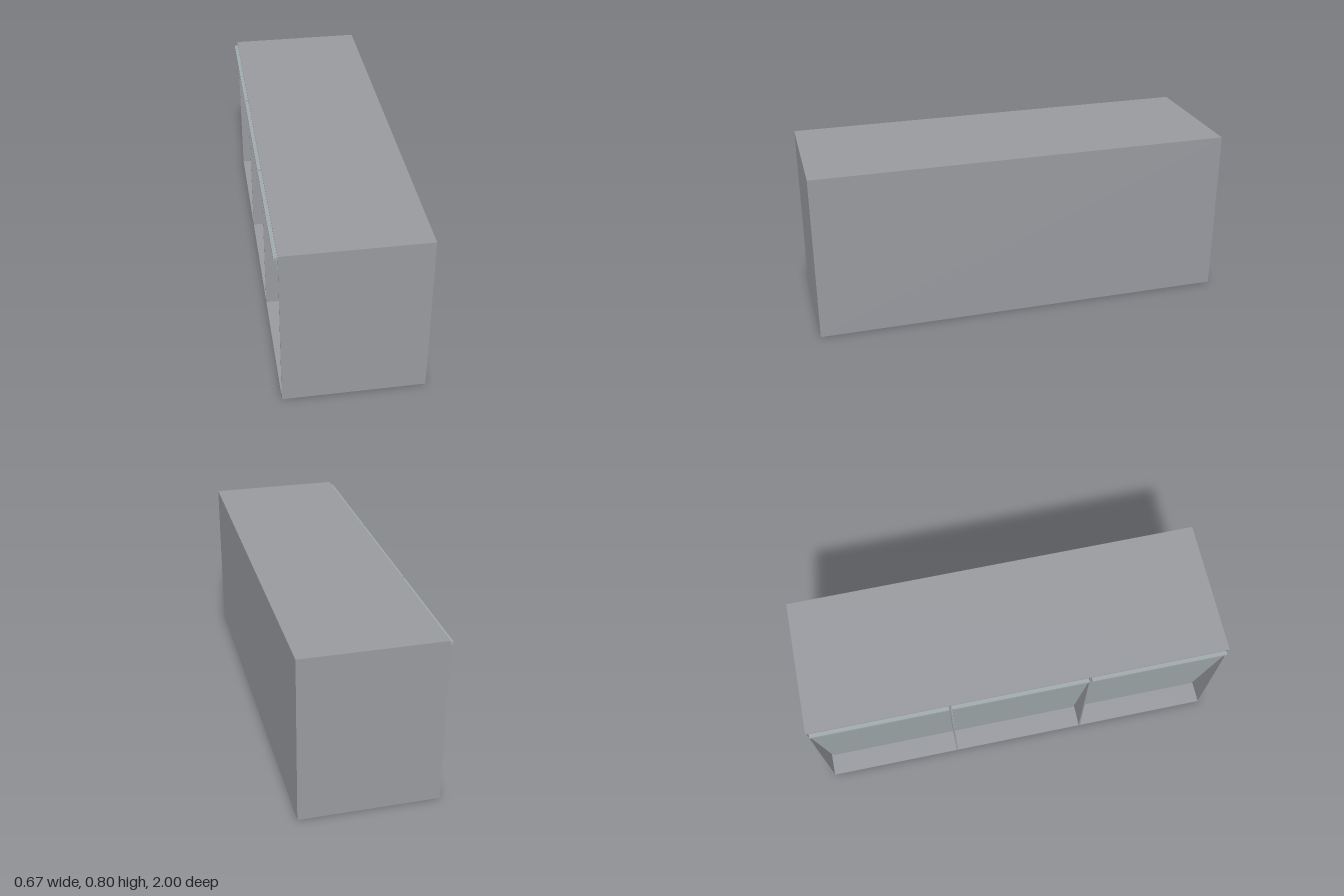
import * as THREE from 'three';

export function createModel() {
  const model = new THREE.Group();
  model.name = 'tiltBinCabinet';

  const bodyMat = new THREE.MeshStandardMaterial({ color: 0x97999e });
  bodyMat.name = 'cabinet grey';
  const panelMat = new THREE.MeshStandardMaterial({ color: 0x9fa8ab });
  panelMat.name = 'bin front grey';

  // Box given by its lower and upper corners
  const addBox = (name, min, max) => {
    const size = max.map((v, i) => v - min[i]);
    const mesh = new THREE.Mesh(new THREE.BoxGeometry(...size), bodyMat);
    mesh.position.set(...max.map((v, i) => (v + min[i]) / 2));
    mesh.name = name;
    model.add(mesh);
  };

  const front = -0.32, back = 0.335, height = 0.8, t = 0.007;

  // Carcass, open towards -x
  addBox('floor', [front, 0, -1], [back, t, 1]);
  addBox('top', [front, height - t, -1], [back, height, 1]);
  addBox('backPanel', [back - t, t, -1], [back, height - t, 1]);
  for (const side of [-1, 1]) {
    const z = side * (1 - t / 2);
    addBox('endWall', [front, t, z - t / 2], [back - t, height - t, z + t / 2]);
    const d = side / 3;
    addBox('divider', [front, t, d - t / 2], [back - t, height - t, d + t / 2]);
  }

  // Leaning bin front with a projecting grip lip, extruded across a bay
  const profile = new THREE.Shape();
  profile.moveTo(-0.214, t);
  profile.lineTo(-0.326, 0.765);
  profile.lineTo(-0.328, 0.774);
  profile.lineTo(-0.337, 0.775);
  profile.lineTo(-0.337, 0.787);
  profile.lineTo(-0.314, 0.787);
  profile.lineTo(-0.202, t);
  profile.closePath();

  const bay = 2 / 3, width = bay - 0.018;
  for (let i = -1; i <= 1; i++) {
    const geo = new THREE.ExtrudeGeometry(profile, { depth: width, bevelEnabled: false });
    const bin = new THREE.Mesh(geo, panelMat);
    bin.position.z = i * bay * 0.993 - width / 2;
    bin.name = 'binFront';
    model.add(bin);
  }
  return model;
}
